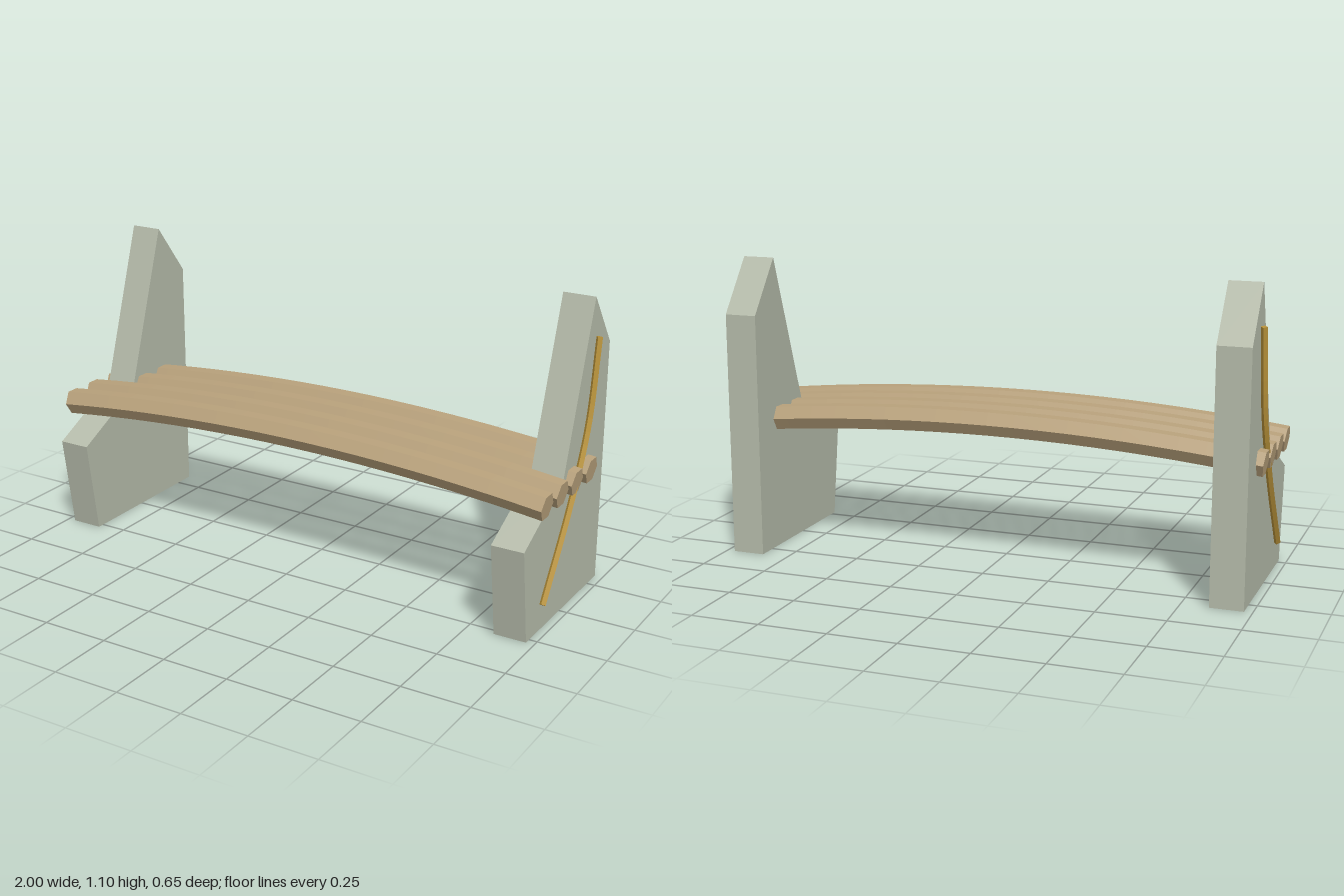
import * as THREE from 'three';

const flat = (name, color) => {
  const m = new THREE.MeshStandardMaterial({ color, flatShading: true });
  m.name = name;
  return m;
};

export function createModel() {
  const concrete = flat('concrete', 0xb5bbaa);
  const wood = flat('wood', 0xb9a27c);
  const brass = flat('brass', 0xb8923a);
  const bench = new THREE.Group();
  bench.name = 'bench';

  const add = (name, geometry, material, x = 0, y = 0, z = 0) => {
    const mesh = new THREE.Mesh(geometry, material);
    mesh.name = name;
    mesh.position.set(x, y, z);
    bench.add(mesh);
  };

  // Slab profile in (z, y), extruded along x
  const profile = [[0.275, 0], [0.325, 0.35], [0.025, 0.5], [-0.175, 1.095], [-0.325, 0.9], [-0.325, 0]];
  const slab = new THREE.ExtrudeGeometry(
    new THREE.Shape(profile.map(([z, y]) => new THREE.Vector2(z, y))),
    { depth: 0.12, bevelEnabled: false }
  );
  slab.translate(0, 0, -0.06).rotateY(-Math.PI / 2);

  // Thin inlay rod, diamond in section, bending up the outer face
  const path = new THREE.CatmullRomCurve3(
    [[0.1, 0.175], [0.4, -0.025], [0.65, -0.145], [0.95, -0.2]].map(([y, z]) => new THREE.Vector3(0, y, z))
  );
  const r = 0.0125;
  const diamond = new THREE.Shape([[r, 0], [0, r], [-r, 0], [0, -r]].map(([a, b]) => new THREE.Vector2(a, b)));
  const rod = new THREE.ExtrudeGeometry(diamond, { steps: 20, extrudePath: path, bevelEnabled: false });

  for (const [side, s] of [['left', 1], ['right', -1]]) {
    add(`${side}EndSlab`, slab, concrete, s * 0.91);
    add(`${side}InlayRod`, rod, brass, s * 0.98);
  }

  // Hexagonal seat log, arched so that its middle stands highest
  const log = new THREE.CylinderGeometry(0.049, 0.049, 1.99, 6, 20);
  log.rotateZ(Math.PI / 2);
  const p = log.attributes.position;
  const rise = 0.061;
  for (let i = 0; i < p.count; i++) {
    const x = p.getX(i), y = p.getY(i);
    p.setXY(i, x + y * 2 * rise * x, y - rise * x * x);
  }
  log.computeVertexNormals();
  for (let i = 0; i < 4; i++) add(`seatLog${i + 1}`, log, wood, 0, 0.538, 0.212 - i * 0.125);

  return bench;
}
